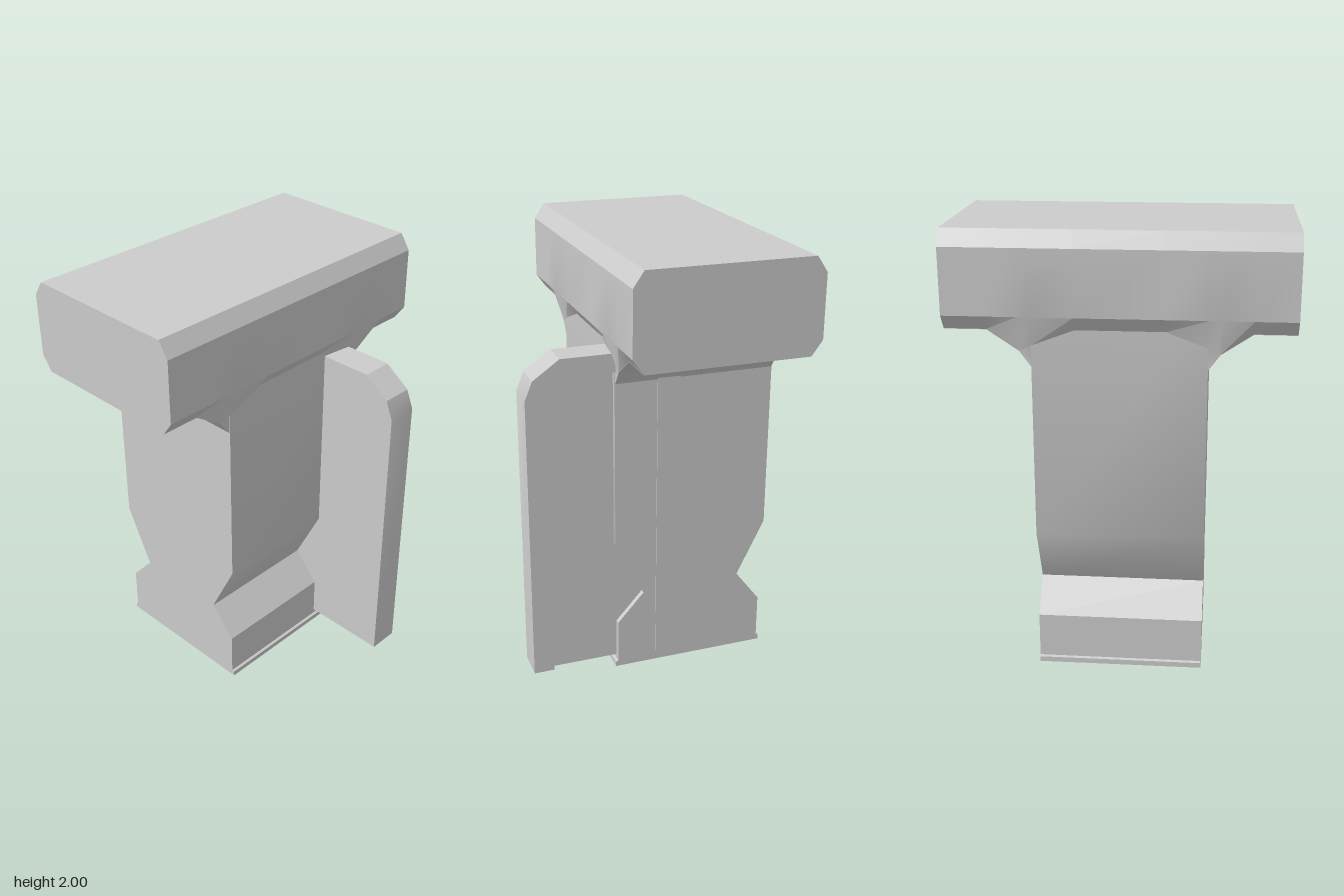
import * as THREE from 'three';
import { toCreasedNormals } from 'three/addons/utils/BufferGeometryUtils.js';

const CREASE = 0.56;
const MID_Z = -0.173; // centre plane of the post and head

export function createModel() {
  const group = new THREE.Group();
  const material = new THREE.MeshStandardMaterial({ color: 0xcccccc });

  const add = (name, geometry) => {
    const mesh = new THREE.Mesh(toCreasedNormals(geometry, CREASE), material);
    mesh.name = name;
    group.add(mesh);
  };

  // Extrudes a [z, y] side profile from x0 to x1
  const slab = (profile, x0, x1) => {
    const shape = new THREE.Shape(profile.map(([z, y]) => new THREE.Vector2(-z, y)));
    const geometry = new THREE.ExtrudeGeometry(shape, { depth: x1 - x0, bevelEnabled: false });
    return geometry.rotateY(Math.PI / 2).translate(x0, 0, 0);
  };

  // Adds the mirrored back half to a front [z, y] profile
  const mirrored = (front) => [
    ...front,
    ...front.map(([z, y]) => [2 * MID_Z - z, y]).reverse(),
  ];

  // Post with a pinched waist and a thin foot plate
  add('post', slab(mirrored([
    [0.197, 0], [0.197, 0.024], [0.185, 0.028], [0.185, 0.235],
    [0.06, 0.375], [0.197, 0.65], [0.197, 1.7],
  ]), -0.37, 0.37));

  // Head: cross-sections along x, flared underneath into the post
  // [x, lowest y, y where the underside bevel starts]
  const half = [
    [0.185, 1.42, 1.58], [0.37, 1.42, 1.51], [0.42, 1.488, 1.49],
    [0.555, 1.578, 1.58], [0.735, 1.578, 1.58],
  ];
  const stations = [...half.map(([x, a, b]) => [-x, a, b]).reverse(), ...half];
  const positions = [];
  const index = [];
  let n = 0;
  for (const [x, low, bevel] of stations) {
    const ring = mirrored([
      [0.195, low], [0.195, bevel], [0.243, 1.645], [0.243, 1.93], [0.195, 2],
    ]);
    n = ring.length;
    for (const [z, y] of ring) positions.push(x, y, z);
  }
  const last = (stations.length - 1) * n;
  for (let s = 0; s < last; s += n) {
    for (let j = 0; j < n; j++) {
      const a = s + j, b = s + ((j + 1) % n);
      index.push(a, a + n, b + n, a, b + n, b);
    }
  }
  for (let j = 1; j < n - 1; j++) {
    index.push(0, j, j + 1, last, last + j + 1, last + j);
  }
  const head = new THREE.BufferGeometry();
  head.setAttribute('position', new THREE.Float32BufferAttribute(positions, 3));
  head.setIndex(index);
  add('head', head);

  // Side fin: a raised bent rim around a slightly recessed panel
  add('finRim', slab([
    [0.595, 0.05], [0.595, 1.39], [0.56, 1.475], [0.44, 1.56], [0.1, 1.56],
    [0.1, 1.475], [0.475, 1.475], [0.5, 1.39], [0.5, 0.05],
  ], 0.23, 0.375));
  add('finPanel', slab([
    [0.52, 0.05], [0.52, 1.39], [0.49, 1.49], [0, 1.49], [0, 0.05],
  ], 0.23, 0.345));

  // Narrow rib on the side of the post
  add('sideRib', slab([[0, 0.05], [0, 1.43], [-0.105, 1.43], [-0.105, 0.05]], 0.3, 0.375));

  return group;
}
